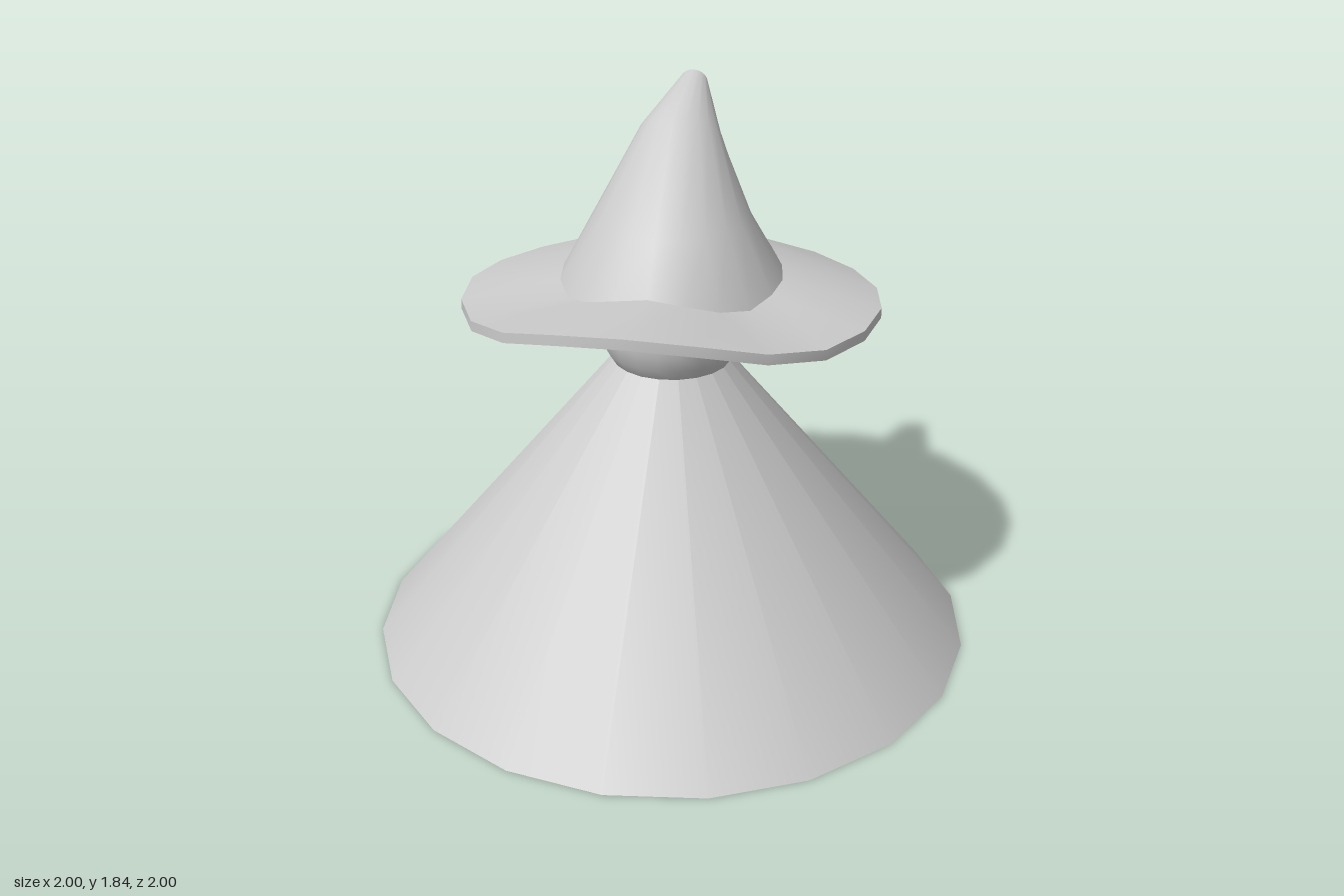
import * as THREE from 'three';

const SIDES = 20;
const grey = new THREE.MeshStandardMaterial({ color: 0xcccccc });
const greyOpen = new THREE.MeshStandardMaterial({ color: 0xcccccc, side: THREE.DoubleSide });

// A closed ring of points; fn receives the angle (0 = front) and the index
const ring = (fn) => Array.from({ length: SIDES }, (_, i) => fn((i / SIDES) * Math.PI * 2, i));

// Smooth skin over successive rings
function loft(rings) {
  const index = [];
  for (let r = 0; r < rings.length - 1; r++) {
    for (let i = 0; i < SIDES; i++) {
      const j = (i + 1) % SIDES;
      const a = r * SIDES + i, b = r * SIDES + j, c = a + SIDES, d = b + SIDES;
      index.push(a, b, d, a, d, c);
    }
  }
  const geo = new THREE.BufferGeometry();
  geo.setAttribute('position', new THREE.Float32BufferAttribute(rings.flat(2), 3));
  geo.setIndex(index);
  geo.computeVertexNormals();
  return geo;
}

function add(parent, name, geometry, material = grey) {
  const mesh = new THREE.Mesh(geometry, material);
  mesh.name = name;
  parent.add(mesh);
  return mesh;
}

// Heights from front to back, mirrored left and right
const RIM_Y = [1.28, 1.262, 1.215, 1.18, 1.172, 1.168, 1.155, 1.146, 1.143, 1.144, 1.145];
const SEAM_Y = [1.31, 1.29, 1.26, 1.242, 1.26, 1.27, 1.278, 1.305, 1.312, 1.312, 1.31];
const THICK = 0.033;

const wavyRing = (radius, heights, dy) =>
  ring((a, i) => [Math.sin(a) * radius, heights[Math.min(i, SIDES - i)] + dy, Math.cos(a) * radius]);

// Tilted ring: x radius, centre (y, z), and the offset (y, z) to its front point
const tiltedRing = (rx, y, z, dy, dz) =>
  ring((a) => [Math.sin(a) * rx, y + Math.cos(a) * dy, z + Math.cos(a) * dz]);

export function createModel() {
  const model = new THREE.Group();

  // Conical robe and round head
  add(model, 'robe', new THREE.ConeGeometry(1, 1.21, SIDES)).position.y = 0.605;
  add(model, 'head', new THREE.SphereGeometry(0.238, SIDES, 14)).position.y = 1.12;

  const hat = new THREE.Group();
  hat.name = 'hat';
  model.add(hat);

  // Brim: edge, top, inner wall and underside, each with its own normals
  const outerLow = wavyRing(0.667, RIM_Y, 0);
  const outerTop = wavyRing(0.667, RIM_Y, THICK);
  const innerTop = wavyRing(0.354, SEAM_Y, 0);
  const innerLow = wavyRing(0.354, SEAM_Y, -THICK);
  add(hat, 'brimEdge', loft([outerLow, outerTop]));
  add(hat, 'brimTop', loft([outerTop, innerTop]));
  add(hat, 'brimInnerWall', loft([innerTop, innerLow]));
  add(hat, 'brimUnderside', loft([innerLow, outerLow]));

  // Hollow crown bending backwards
  const tip = tiltedRing(0.043, 1.802, -0.355, 0.038, 0.02);
  add(hat, 'crown', loft([
    innerTop,
    tiltedRing(0.25, 1.46, 0.002, 0, 0.248),
    tiltedRing(0.126, 1.695, -0.14, 0.065, 0.12),
    tip,
  ]), greyOpen);

  // Flat end of the crown
  const centre = ring(() => [0, 1.802, -0.355]);
  add(hat, 'crownTip', loft([tip, centre]));

  return model;
}
